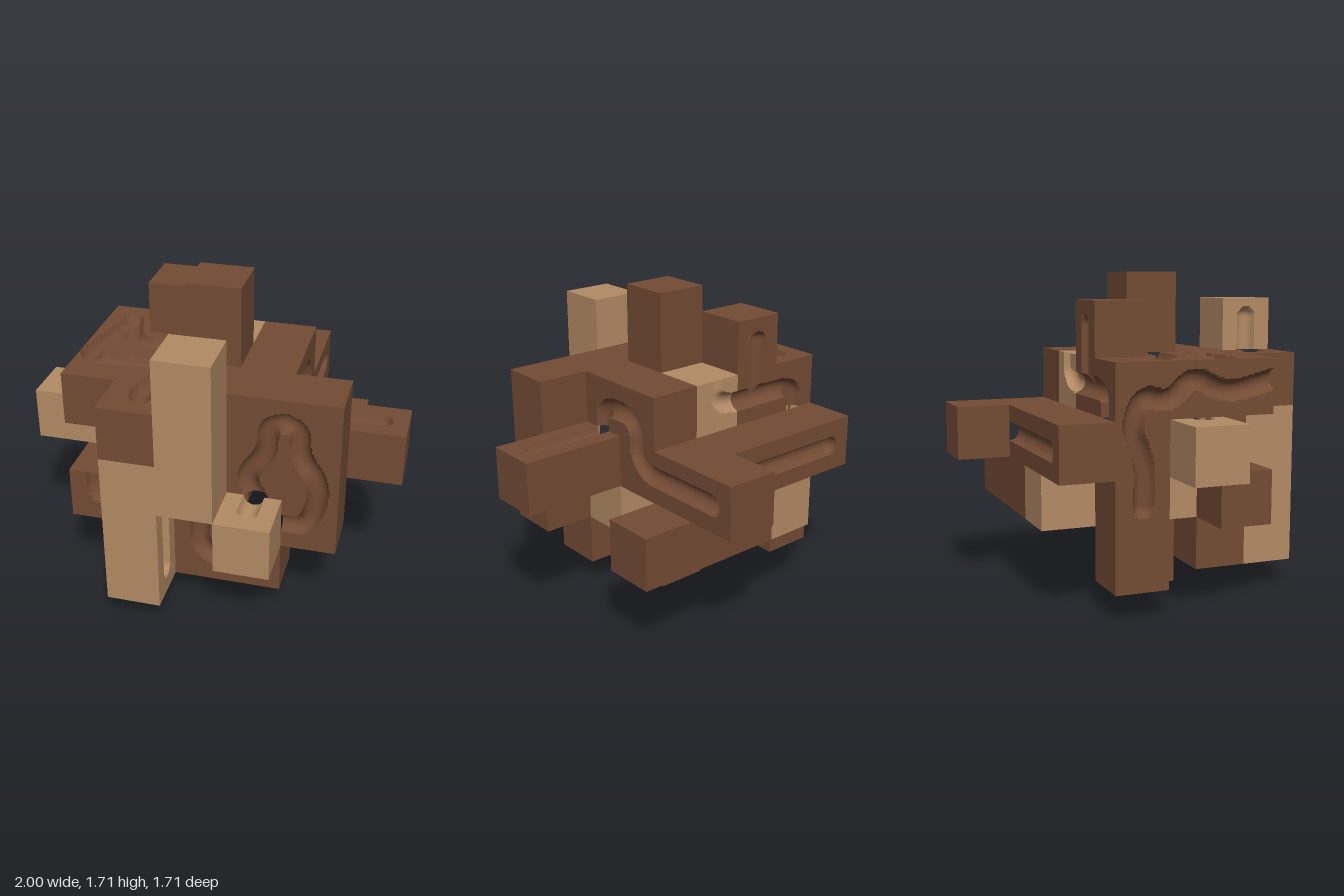
import * as THREE from 'three';
import { mergeGeometries, toCreasedNormals } from 'three/addons/utils/BufferGeometryUtils.js';

const U = 2 / 7, RADIUS = 0.052, SUBDIVISIONS = 32;
const UP = [1, 2, 0], VP = [2, 0, 1];

// grid line positions; the lowest and highest cells are half height
const at = (axis, n) => axis === 0 ? -1 + n * U
  : axis === 1 ? Math.min(1.714, Math.max(0, U / 2 + n * U))
  : -3 * U + n * U;

// cells of a block, starting at one cell and running along x, y and z
function block(i, j, k, { x = 1, y = 1, z = 1 } = {}) {
  const cells = [];
  for (let a = 0; a < x; a++) for (let b = 0; b < y; b++) for (let c = 0; c < z; c++)
    cells.push([i + a, j + b, k + c]);
  return cells;
}

// polyline with rounded corners, sampled closely
function roundedPath(pts) {
  const out = [pts[0]];
  let from = pts[0];
  for (let i = 1; i < pts.length; i++) {
    const corner = pts[i], next = pts[i + 1];
    if (!next) {
      out.push(...new THREE.LineCurve3(from, corner).getPoints(40));
      break;
    }
    const toward = p => corner.clone().lerp(p, Math.min(0.5, 0.14 / corner.distanceTo(p)));
    const start = toward(pts[i - 1]), end = toward(next);
    out.push(...new THREE.LineCurve3(from, start).getPoints(40));
    out.push(...new THREE.QuadraticBezierCurve3(start, corner, end).getPoints(20));
    from = end;
  }
  return out;
}

// marble channel on a grid plane; points are (x,y) on z planes,
// (z,y) on x planes and (x,z) on y planes
function channel(axis, dir, line, pts, r = RADIUS) {
  const p = at(axis, line);
  const to3 = ([a, b]) => axis === 2 ? new THREE.Vector3(a, b, p)
    : axis === 0 ? new THREE.Vector3(p, b, a) : new THREE.Vector3(a, p, b);
  return { axis, dir, line, r, path: roundedPath(pts.map(to3)) };
}

function makeChannels() {
  // one side of the bottle-shaped loop, measured from its middle
  const side = [[0, 1.16], [0.08, 1.13], [0.08, 0.98], [0.2, 0.83]];
  const loopSide = (sign, end) => channel(2, 1, 5,
    [...side, ...end].map(([x, y]) => [0.43 + sign * x, y]));
  const front = [
    loopSide(-1, [[0.13, 0.71]]),
    loopSide(1, [[0.14, 0.57], [0, 0.57]]),
    channel(2, 1, 5, [[0, 0.72], [0, 0.285], [U, 0.285], [U, 0.43]]),
    channel(2, 1, 5, [[-0.57, 0.72], [-0.57, 0.57], [-0.43, 0.57]]),
    channel(2, 1, 4, [[-0.57, 1], [-0.57, 0.79]]),
    channel(2, 1, 3, [[-0.57, 0.286]]),
  ];
  const back = [
    channel(2, -1, 2, [[0, 1.29], [0, 1.14], [-0.57, 1.14], [-0.57, 1]]),
    channel(2, -1, 2, [[-U, 1.14], [-U, 1.44]]),
    channel(2, -1, 1, [[U / 2, 0.857], [-0.57, 0.857]]),
  ];
  const sides = [
    channel(0, 1, 5, [[-0.72, 0.86], [-0.143, 0.86], [-0.143, 1.14], [0.143, 1.14], [0.143, 1]]),
    channel(0, 1, 3, [[0.714, 0.286], [0.714, 0.7]]),
    channel(0, 1, 4, [[0.143, 0.43], [0.143, 0.27], [0, 0.27]]),
    channel(0, 1, 2, [[-0.143, 0.286]], 0.095),
    channel(0, -1, 3, [[0.714, 1.286], [0.714, 1.47]]),
    channel(0, -1, 1, [[-0.14, 0.57], [-0.13, 0.8], [-0.21, 0.96], [-0.15, 1.13],
      [0, 1.08], [0.12, 1.22], [0.3, 1.11], [0.57, 1.18]]),
  ];
  const top = [
    channel(1, 1, 4, [[-0.57, -0.14], [-0.68, 0.37], [-0.19, 0.34], [-0.29, 0.71], [-0.13, 0.74]]),
    channel(1, 1, 4, [[-0.57, -0.14], [-0.5, 0.11], [-0.14, 0.14]]),
    channel(1, 1, 3, [[0.43, 0.143], [0.86, 0.143]]),
    channel(1, 1, 3, [[-0.74, 0.17], [-0.71, 0.17]]),
    channel(1, 1, 2, [[U, 0.57], [U, 0.71]]),
  ];
  const underside = [
    channel(1, -1, 1, [[-U, -0.4], [-U, 0.14]]),
    channel(1, -1, 1, [[0, 0.14], [0, -0.143], [-U, -0.143]]),
  ];
  return [...front, ...back, ...sides, ...top, ...underside];
}

// one cell face, subdivided and pressed in wherever a channel crosses it
function cellFace(cell, axis, dir, channels) {
  const line = cell[axis] + (dir > 0 ? 1 : 0);
  const ua = dir > 0 ? UP[axis] : VP[axis], va = dir > 0 ? VP[axis] : UP[axis];
  const lo = [0, 1, 2].map(a => at(a, cell[a])), hi = [0, 1, 2].map(a => at(a, cell[a] + 1));
  const box = new THREE.Box3(new THREE.Vector3(...lo), new THREE.Vector3(...hi));
  const cuts = channels.filter(g => g.axis === axis && g.dir === dir && g.line === line
    && g.path.some(p => box.distanceToPoint(p) < g.r));
  const n = cuts.length ? SUBDIVISIONS : 1;
  const geo = new THREE.PlaneGeometry(1, 1, n, n);
  const pos = geo.attributes.position, v = new THREE.Vector3();
  for (let i = 0; i < pos.count; i++) {
    const c = [0, 0, 0];
    c[ua] = THREE.MathUtils.lerp(lo[ua], hi[ua], pos.getX(i) + 0.5);
    c[va] = THREE.MathUtils.lerp(lo[va], hi[va], pos.getY(i) + 0.5);
    c[axis] = at(axis, line);
    v.set(...c);
    let depth = 0;
    for (const g of cuts) {
      let d2 = Infinity;
      for (const p of g.path) d2 = Math.min(d2, p.distanceToSquared(v));
      depth = Math.max(depth, Math.sqrt(Math.max(0, g.r * g.r - d2)));
    }
    c[axis] -= dir * depth;
    pos.setXYZ(i, ...c);
  }
  geo.deleteAttribute('uv');
  geo.deleteAttribute('normal');
  return geo;
}

export function createModel() {
  const group = new THREE.Group();
  group.name = 'marbleMazePuzzle';
  const walnut = new THREE.MeshStandardMaterial({ color: 0x734b34 });
  walnut.name = 'walnutWood';
  const oak = new THREE.MeshStandardMaterial({ color: 0xb38b64 });
  oak.name = 'oakWood';

  // interlocking pieces
  const pieces = [];
  const piece = (name, material, ...blocks) => pieces.push({ name, material, cells: blocks.flat() });
  piece('mainBody', walnut, block(1, 3, 2, { z: 3 }), block(2, 3, 2, { z: 4 }),
    block(3, 3, 3, { z: 2 }), block(1, 0, 2, { y: 3 }), block(2, 2, 2, { x: 2, z: 3 }));
  piece('frontPanel', walnut, block(1, 1, 4, { x: 5 }), block(2, 0, 4, { x: 3 }),
    block(4, 2, 4, { x: 2, y: 2 }));
  piece('sideBeam', walnut, block(4, 2, 0, { z: 4 }), block(4, 3, 2, { z: 2 }));
  piece('rightArm', walnut, block(5, 2, 3, { x: 2 }));
  piece('backBeam', walnut, block(1, 2, 1, { x: 3 }));
  piece('lowerBackBeam', walnut, block(3, 1, 1, { x: 3 }));
  piece('backPeg', walnut, block(2, 4, 2));
  piece('topPeg', walnut, block(3, 4, 3, { y: 2 }));
  piece('bottomPeg', walnut, block(3, -1, 3, { y: 2 }));
  piece('frontLowColumn', oak, block(2, 0, 5, { y: 3 }));
  piece('frontHighColumn', oak, block(3, 2, 5, { y: 3 }));
  piece('frontCube', oak, block(4, 1, 5));
  piece('leftArm', oak, block(0, 2, 3, { x: 2 }));
  piece('backInsert', oak, block(3, 3, 2));
  piece('core', oak, block(2, 1, 1, { z: 3 }), block(3, 1, 2, { z: 2 }), block(4, 1, 3));

  // outer skin of every piece
  const channels = makeChannels();
  const taken = new Set(pieces.flatMap(p => p.cells.map(c => c.join())));
  for (const { name, material, cells } of pieces) {
    const faces = [];
    for (const cell of cells)
      for (let axis = 0; axis < 3; axis++)
        for (const dir of [-1, 1]) {
          const next = cell.slice();
          next[axis] += dir;
          if (!taken.has(next.join())) faces.push(cellFace(cell, axis, dir, channels));
        }
    const mesh = new THREE.Mesh(toCreasedNormals(mergeGeometries(faces), 0.6), material);
    mesh.name = name;
    group.add(mesh);
  }
  return group;
}
